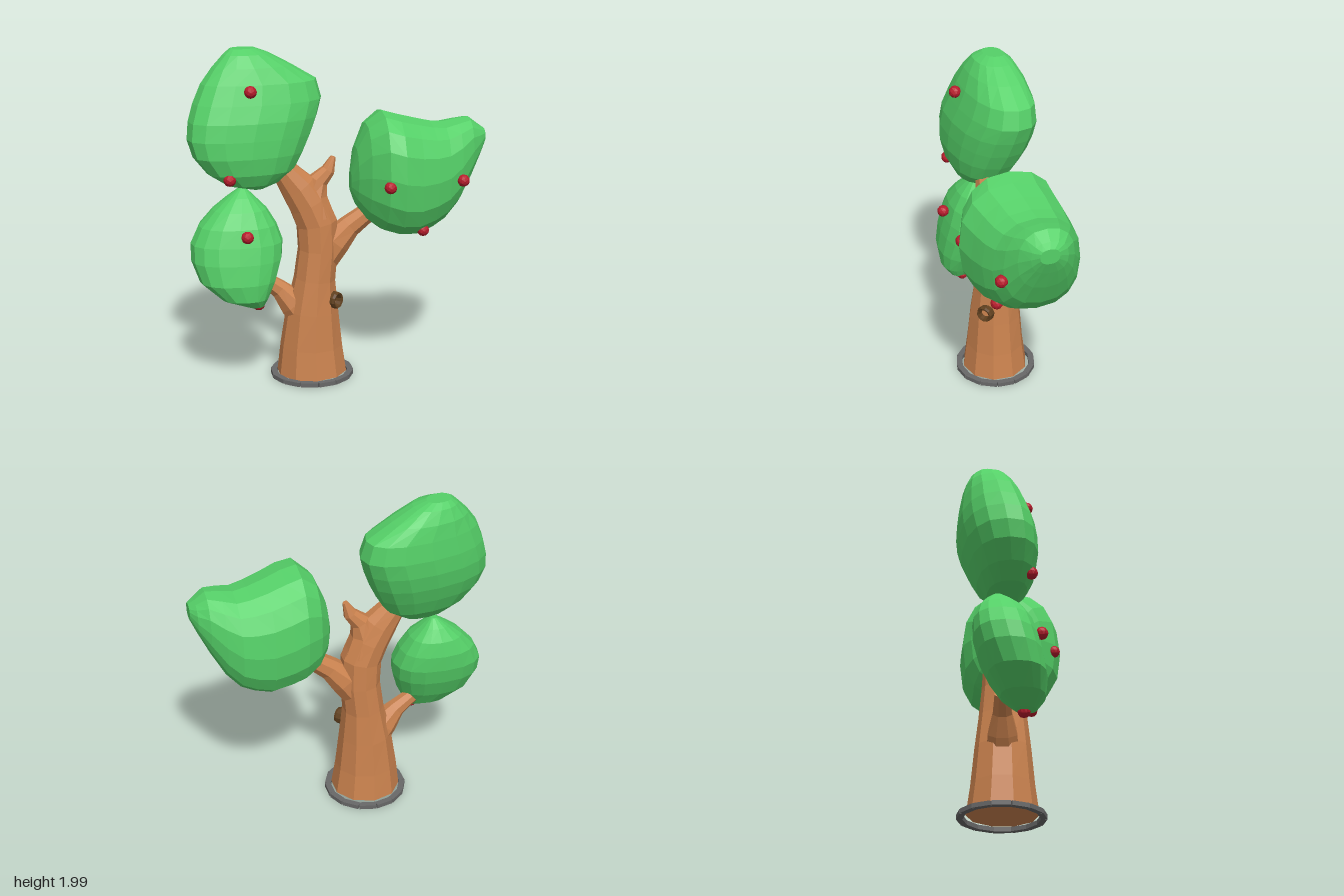
import * as THREE from 'three';

const mat = (color, extra = {}) => new THREE.MeshStandardMaterial({ color, flatShading: true, ...extra });

// Skin a list of rings (equal-length arrays of Vector3), closing both ends
function loft(rings) {
  const n = rings[0].length, pos = [], index = [];
  rings.forEach(r => r.forEach(p => pos.push(p.x, p.y, p.z)));
  for (let i = 0; i < rings.length - 1; i++) {
    for (let j = 0; j < n; j++) {
      const a = i * n + j, b = i * n + (j + 1) % n;
      index.push(a, a + n, b, b, a + n, b + n);
    }
  }
  [0, rings.length - 1].forEach(i => {
    const c = rings[i].reduce((s, p) => s.add(p), new THREE.Vector3()).divideScalar(n);
    const k = pos.length / 3;
    pos.push(c.x, c.y, c.z);
    for (let j = 0; j < n; j++) {
      const a = i * n + j, b = i * n + (j + 1) % n;
      if (i === 0) index.push(k, a, b); else index.push(k, b, a);
    }
  });
  const g = new THREE.BufferGeometry();
  g.setAttribute('position', new THREE.Float32BufferAttribute(pos, 3));
  g.setIndex(index);
  g.computeVertexNormals();
  return g;
}

// Limb along a path; each point is [x, y, z, radius, depthRadius]
function limb(points, sides) {
  return loft(points.map(([x, y, z, r, rz = r], i) => {
    const p = points[Math.max(i - 1, 0)], q = points[Math.min(i + 1, points.length - 1)];
    const len = Math.hypot(q[0] - p[0], q[1] - p[1]);
    const nx = (q[1] - p[1]) / len, ny = -(q[0] - p[0]) / len;
    return Array.from({ length: sides }, (_, j) => {
      const t = (j + 0.5) / sides * Math.PI * 2, c = Math.cos(t) * r;
      return new THREE.Vector3(x + nx * c, y + ny * c, z + Math.sin(t) * rz);
    });
  }));
}

// Leaf mass from sections [t, aMin, aMax, zMin, zMax] along y (a = x) or x (a = y)
function leafMass(sections, axis, shear = 0, sides = 16) {
  const round = v => Math.sign(v) * Math.abs(v) ** 0.84;
  return loft(sections.map(([t, a0, a1, z0, z1]) => {
    const ra = (a1 - a0) / 2, ca = (a0 + a1) / 2, full = (z1 - z0) / 2, cz = (z0 + z1) / 2;
    const rz = Math.sqrt(Math.max(full ** 2 - (shear * ra) ** 2, full ** 2 / 4));
    return Array.from({ length: sides }, (_, j) => {
      const w = j / sides * Math.PI * 2, da = round(Math.cos(w)) * ra;
      const z = cz + round(Math.sin(w)) * rz + shear * da;
      return axis === 'y' ? new THREE.Vector3(ca + da, t, z) : new THREE.Vector3(t, ca - da, z);
    });
  }));
}

export function createModel() {
  const model = new THREE.Group();
  const bark = mat(0xca824e), leaf = mat(0x55d068), red = mat(0xb81c2c), stone = mat(0x686868);
  const add = (name, geometry, material, parent = model) => {
    const mesh = new THREE.Mesh(geometry, material);
    mesh.name = name;
    parent.add(mesh);
    return mesh;
  };

  // Trunk bending into the upper limb
  add('trunk', limb([
    [-0.165, 0.03, -0.04, 0.213, 0.205], [-0.167, 0.2, -0.04, 0.19, 0.182],
    [-0.16, 0.42, -0.04, 0.16, 0.162], [-0.145, 0.62, -0.04, 0.125, 0.14],
    [-0.125, 0.8, -0.04, 0.12, 0.125], [-0.13, 0.96, -0.04, 0.125, 0.115],
    [-0.18, 1.08, -0.04, 0.12, 0.105], [-0.24, 1.18, -0.04, 0.11, 0.092],
    [-0.32, 1.28, -0.04, 0.08, 0.075]], 10), bark);

  // Side branches and the broken spur
  add('leftBranch', limb([
    [-0.1, 0.72, -0.04, 0.09], [-0.02, 0.84, -0.04, 0.095],
    [0.07, 0.93, -0.04, 0.07], [0.22, 1.04, -0.04, 0.055]], 8), bark);
  add('rightBranch', limb([
    [-0.2, 0.36, -0.04, 0.1], [-0.28, 0.47, -0.04, 0.09],
    [-0.36, 0.56, -0.04, 0.058], [-0.46, 0.635, -0.04, 0.045]], 8), bark);
  add('brokenSpur', limb([
    [-0.13, 1.0, -0.04, 0.11], [-0.15, 1.13, -0.04, 0.085],
    [-0.12, 1.22, -0.04, 0.06], [-0.06, 1.28, -0.04, 0.042], [-0.03, 1.36, -0.04, 0.016]], 8), bark);

  // Hollow knot on the trunk
  const profile = [[0.052, 0], [0.052, 0.06], [0.046, 0.075], [0.034, 0.07], [0.028, 0.035], [0, 0.03]];
  const knot = add('knot', new THREE.LatheGeometry(profile.map(p => new THREE.Vector2(...p)), 10),
    mat(0x60401f, { side: THREE.DoubleSide }));
  knot.position.set(-0.07, 0.5, 0.02);
  knot.quaternion.setFromUnitVectors(new THREE.Vector3(0, 1, 0), new THREE.Vector3(0.7, 0, 0.7).normalize());

  // Leaf masses
  add('upperLeaves', leafMass([
    [1.2, -0.53, -0.45, -0.05, 0.05], [1.23, -0.67, -0.36, -0.13, 0.1],
    [1.3, -0.78, -0.26, -0.19, 0.14], [1.4, -0.86, -0.2, -0.24, 0.16],
    [1.5, -0.89, -0.15, -0.28, 0.155], [1.6, -0.88, -0.11, -0.305, 0.14],
    [1.7, -0.85, -0.08, -0.315, 0.105], [1.81, -0.8, -0.11, -0.305, 0.065],
    [1.9, -0.73, -0.26, -0.28, 0.025], [1.97, -0.66, -0.39, -0.24, -0.02],
    [2.0, -0.62, -0.47, -0.2, -0.08]], 'y', -0.15), leaf);
  add('leftLeaves', leafMass([
    [0.07, 1.15, 1.27, -0.07, 0.02], [0.1, 1.07, 1.42, -0.16, 0.1],
    [0.16, 0.98, 1.56, -0.24, 0.19], [0.25, 0.915, 1.635, -0.295, 0.28],
    [0.34, 0.89, 1.61, -0.31, 0.31], [0.45, 0.88, 1.58, -0.32, 0.27],
    [0.55, 0.915, 1.555, -0.315, 0.235], [0.63, 0.96, 1.545, -0.305, 0.2],
    [0.71, 1.05, 1.56, -0.265, 0.16], [0.79, 1.2, 1.57, -0.215, 0.105],
    [0.85, 1.33, 1.525, -0.16, 0.05], [0.885, 1.41, 1.5, -0.1, 0.01]], 'x'), leaf);
  add('rightLeaves', leafMass([
    [0.51, -0.57, -0.47, 0.03, 0.15], [0.56, -0.72, -0.44, -0.05, 0.2],
    [0.66, -0.84, -0.39, -0.12, 0.21], [0.78, -0.885, -0.35, -0.175, 0.19],
    [0.88, -0.885, -0.34, -0.2, 0.165], [0.98, -0.835, -0.375, -0.205, 0.135],
    [1.07, -0.75, -0.43, -0.185, 0.085], [1.14, -0.66, -0.5, -0.14, 0.02],
    [1.19, -0.59, -0.55, -0.09, -0.04]], 'y'), leaf);

  // Fruit
  const fruits = new THREE.Group();
  fruits.name = 'fruits';
  const fruitShape = new THREE.IcosahedronGeometry(0.037, 1);
  [[-0.53, 1.78, 0.1], [-0.66, 1.28, 0.125], [-0.57, 0.95, 0.18], [-0.5, 0.51, 0.08],
    [0.25, 1.23, 0.27], [0.71, 1.23, 0.17], [0.48, 0.93, 0.13]]
    .forEach(p => add('fruit', fruitShape, red, fruits).position.set(...p));
  model.add(fruits);

  // Ring of edging stones
  const ring = new THREE.Group();
  ring.name = 'stoneRing';
  ring.position.set(-0.163, 0.02, -0.045);
  const stoneShape = new THREE.BoxGeometry(0.104, 0.026, 0.036), count = 14;
  for (let i = 0; i < count; i++) {
    const t = (i + 0.5) / count * Math.PI * 2;
    const block = add('edgingStone', stoneShape, stone, ring);
    block.position.set(Math.sin(t) * 0.229, 0, Math.cos(t) * 0.229);
    block.rotation.y = t;
  }
  model.add(ring);
  return model;
}
